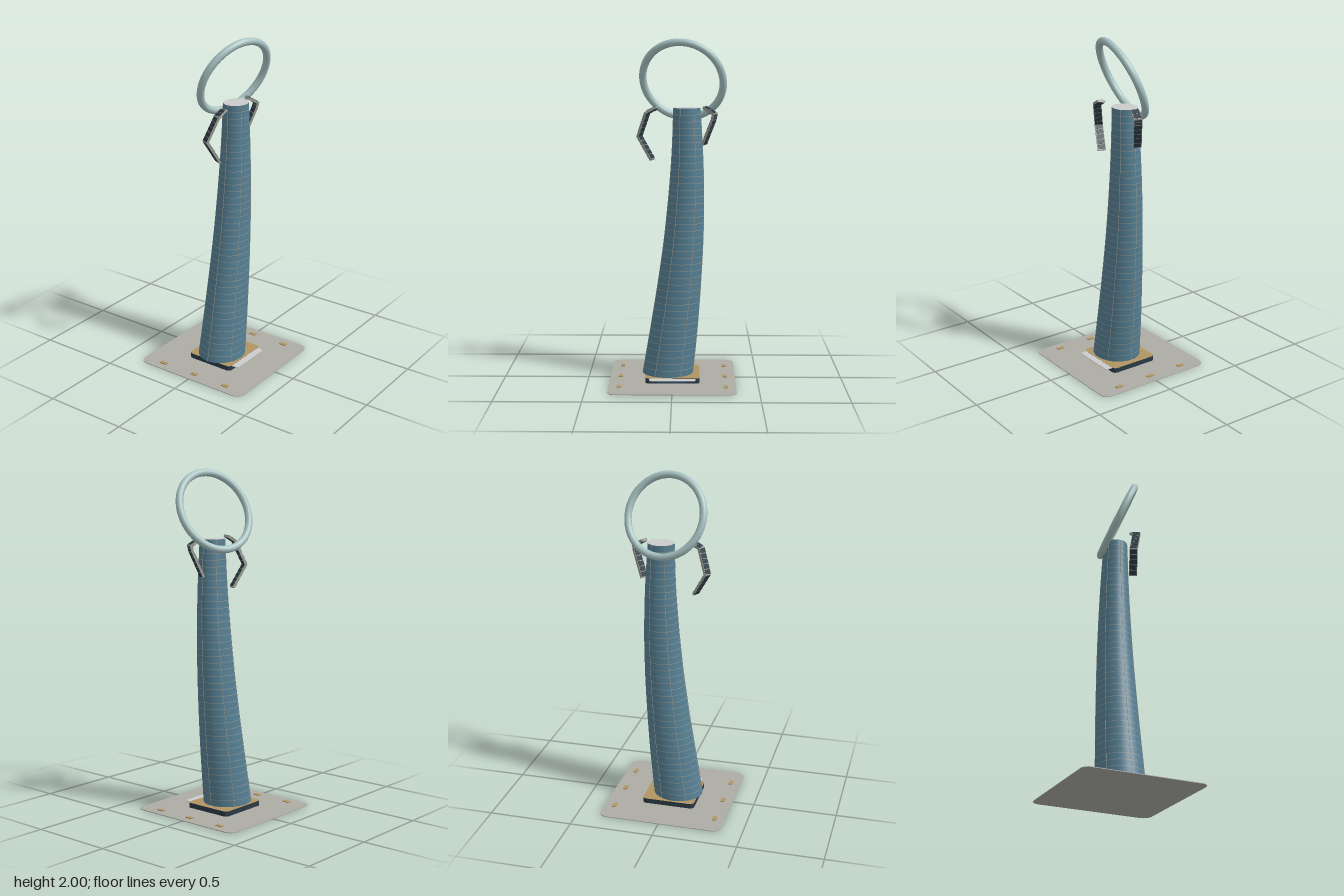
import * as THREE from 'three';
import { ParametricGeometry } from 'three/addons/geometries/ParametricGeometry.js';
import { mergeGeometries } from 'three/addons/utils/BufferGeometryUtils.js';

const mat = (color) => new THREE.MeshStandardMaterial({ color });
const glass = mat(0x557f93), dark = mat(0x2b3a44), tan = mat(0xb09462), stone = mat(0xacaca4);
const pale = mat(0xcccccc), steel = mat(0xa9c3c3), trim = mat(0x9a9c94);
const V = (x, y, z) => new THREE.Vector3(x, y, z);

function part(parent, name, geometry, material) {
  const mesh = new THREE.Mesh(geometry, material);
  mesh.name = name;
  parent.add(mesh);
  return mesh;
}

// Flat slab with rounded corners, lying between y0 and y1
function slab(w, d, r, y0, y1) {
  const s = new THREE.Shape(), x = w / 2, z = d / 2;
  s.moveTo(-x + r, -z);
  s.lineTo(x - r, -z).absarc(x - r, -z + r, r, -Math.PI / 2, 0);
  s.lineTo(x, z - r).absarc(x - r, z - r, r, 0, Math.PI / 2);
  s.lineTo(-x + r, z).absarc(-x + r, z - r, r, Math.PI / 2, Math.PI);
  s.lineTo(-x, -z + r).absarc(-x + r, -z + r, r, Math.PI, Math.PI * 1.5);
  const g = new THREE.ExtrudeGeometry(s, { depth: y1 - y0, bevelEnabled: false, curveSegments: 8 });
  return g.rotateX(-Math.PI / 2).translate(0, y0, 0);
}

// Tower outline: left edge and right edge at evenly spaced heights
const Y0 = 0.033, Y1 = 1.605;
const edges = [
  [-0.178, 0.12], [-0.133, 0.146], [-0.09, 0.165], [-0.053, 0.178],
  [-0.025, 0.182], [-0.005, 0.175], [0.004, 0.159],
];
const outline = new THREE.CatmullRomCurve3(edges.map(([l, r]) => V((l + r) / 2, (r - l) / 2, 0)));

// Point on the tower skin at an angle and a height fraction
function skin(angle, t, out = 0, target = V(0, 0, 0)) {
  const p = outline.getPoint(THREE.MathUtils.clamp(t, 0, 1));
  const rz = THREE.MathUtils.lerp(0.138, 0.071, t);
  return target.set(
    p.x + Math.cos(angle) * (p.y + out),
    Y0 + (Y1 - Y0) * t,
    0.02 * t - Math.sin(angle) * (rz + out),
  );
}

function skinBand(t0, t1, out, slices, stacks) {
  return new ParametricGeometry(
    (u, v, target) => skin(u * Math.PI * 2, t0 + (t1 - t0) * v, out, target), slices, stacks);
}

function buildTower() {
  const tower = new THREE.Group();
  tower.name = 'tower';
  part(tower, 'towerShell', skinBand(0, 1, 0, 48, 40), glass);

  // Roof disc follows the top section
  const roof = part(tower, 'roof', new THREE.CircleGeometry(1, 48).rotateX(-Math.PI / 2), pale);
  roof.scale.set(0.0775, 1, 0.071);
  roof.position.set(0.0815, Y1, 0.02);

  // Thin floor lines
  const floors = [];
  for (let i = 1; i < 40; i++) floors.push(skinBand(i / 40, i / 40 + 0.0018, 0.0008, 40, 1));
  part(tower, 'floorLines', mergeGeometries(floors), trim);

  // Upright seams
  const seams = [];
  for (let i = 0; i < 6; i++) {
    const pts = Array.from({ length: 9 }, (_, k) => skin(i * Math.PI / 3, k / 8));
    seams.push(new THREE.TubeGeometry(new THREE.CatmullRomCurve3(pts), 32, 0.0018, 5));
  }
  part(tower, 'seams', mergeGeometries(seams), trim);
  return tower;
}

// Folded walkway: flat segments along a path, with dark slats on both faces
function buildStrip(name, points) {
  const strip = new THREE.Group();
  strip.name = name;
  const across = V(0.45, 0, -0.9);
  for (let i = 0; i < points.length - 1; i++) {
    const a = points[i], b = points[i + 1];
    const along = b.clone().sub(a), length = along.length();
    along.normalize();
    const normal = across.clone().cross(along).normalize();
    const side = along.clone().cross(normal);
    const segment = new THREE.Group();
    segment.name = 'stripSegment';
    segment.quaternion.setFromRotationMatrix(new THREE.Matrix4().makeBasis(side, along, normal));
    segment.position.copy(a).add(b).multiplyScalar(0.5);
    part(segment, 'stripBody', new THREE.BoxGeometry(0.048, length + 0.008, 0.014), trim);
    const rows = Math.max(2, Math.round(length / 0.03)), step = length / rows;
    for (let k = 0; k < rows; k++) {
      const slat = part(segment, 'slat', new THREE.BoxGeometry(0.042, step - 0.004, 0.018), dark);
      slat.position.y = (k + 0.5) * step - length / 2;
    }
    strip.add(segment);
  }
  return strip;
}

export function createModel() {
  const model = new THREE.Group();
  model.name = 'curvedTower';

  // Ground plate and small planters
  part(model, 'plaza', slab(0.74, 0.74, 0.05, 0, 0.004), stone);
  for (const x of [-0.31, 0.31]) {
    for (const z of [-0.23, -0.002, 0.226]) {
      part(model, 'planter', new THREE.BoxGeometry(0.024, 0.006, 0.043), tan).position.set(x, 0.006, z);
    }
  }

  // Podium with entrance glass and canopy
  part(model, 'podium', slab(0.318, 0.303, 0.025, 0.004, 0.034), [tan, dark]);
  part(model, 'entranceGlass', new THREE.BoxGeometry(0.17, 0.026, 0.004), mat(0x2f4d63)).position.set(-0.005, 0.017, 0.152);
  part(model, 'canopy', slab(0.27, 0.08, 0.015, 0.029, 0.033), pale).position.z = 0.154;

  model.add(buildTower());

  // Tilted ring behind the tower top
  const ring = part(model, 'ring', new THREE.TorusGeometry(0.236, 0.0215, 20, 80), steel);
  ring.position.set(0.058, 1.763, 0.023);
  ring.quaternion.setFromUnitVectors(V(0, 0, 1), V(-0.2, -0.4, 0.89).normalize());

  // Hanging strips on either side
  model.add(buildStrip('rightStrip', [
    V(-0.092, 1.608, 0.06), V(-0.145, 1.58, 0.052), V(-0.193, 1.44, 0.008), V(-0.118, 1.31, 0.04)]));
  model.add(buildStrip('leftStrip', [
    V(0.185, 1.608, 0.03), V(0.242, 1.572, 0.05), V(0.236, 1.54, 0.045), V(0.182, 1.395, 0.008)]));
  return model;
}
